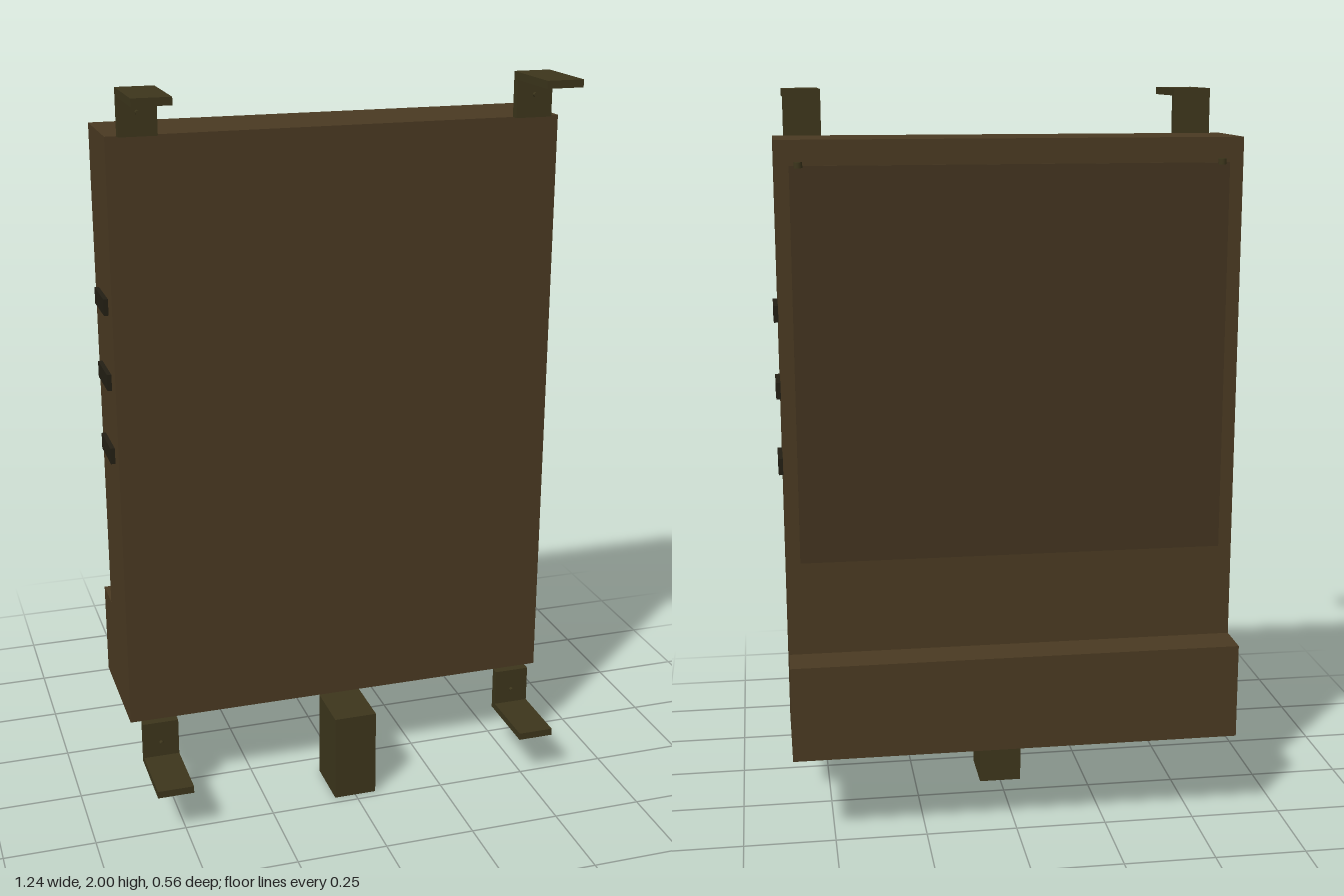
import * as THREE from 'three';

const material = (color) => new THREE.MeshStandardMaterial({ color });

export function createModel() {
  const model = new THREE.Group();
  const brown = material(0x4a3a22);
  const olive = material(0x3d361c);
  const dark = material(0x231f14);
  const panelBrown = material(0x42341f);

  // Box given by its minimum and maximum corners
  function box(name, [x0, y0, z0], [x1, y1, z1], mat, parent = model) {
    const mesh = new THREE.Mesh(new THREE.BoxGeometry(x1 - x0, y1 - y0, z1 - z0), mat);
    mesh.position.set((x0 + x1) / 2, (y0 + y1) / 2, (z0 + z1) / 2);
    mesh.name = name;
    parent.add(mesh);
    return mesh;
  }

  function cylinder(name, radius, length, position, mat, parent = model) {
    const mesh = new THREE.Mesh(new THREE.CylinderGeometry(radius, radius, length, 12), mat);
    mesh.position.set(...position);
    mesh.name = name;
    parent.add(mesh);
    return mesh;
  }

  // Main cabinet and the deeper housing at the foot of its back
  box('cabinet', [-0.61, 0.25, -0.17], [0.61, 1.88, 0.07], brown);
  box('lowerHousing', [-0.61, 0.25, -0.28], [0.61, 0.513, -0.17], brown);

  // Thin cover panel on the back
  box('backPanel', [-0.573, 0.77, -0.175], [0.573, 1.815, -0.17], panelBrown);

  // Connector block under the front edge
  box('connectorBlock', [-0.06, 0, 0.07], [0.06, 0.25, 0.225], olive);

  for (const side of [-1, 1]) {
    // Panel fastening pins
    cylinder('panelPin', 0.011, 0.015, [side * 0.55, 1.818, -0.182], olive);

    // Side vents
    for (const y of [1.023, 1.228, 1.432]) {
      const vent = box('sideVent', [-0.006, y - 0.022, -0.12], [0.006, y + 0.022, 0.015], dark);
      vent.position.x = side * 0.616;
    }

    // L-shaped mounting brackets, flanges pointing forward at top and bottom
    for (const [name, y0, y1, flangeY] of [
      ['upperBracket', 1.88, 2, 1.98],
      ['lowerBracket', 0.125, 0.25, 0.125],
    ]) {
      const bracket = new THREE.Group();
      bracket.name = name;
      bracket.position.x = side * 0.53;
      box('bracketPlate', [-0.05, y0, 0.07], [0.05, y1, 0.093], olive, bracket);
      box('bracketFlange', [-0.05, flangeY, 0.093], [0.05, flangeY + 0.02, 0.28], olive, bracket);
      const bolt = cylinder('bracketBolt', 0.006, 0.012, [0, (y0 + y1) / 2, 0.098], olive, bracket);
      bolt.rotation.x = Math.PI / 2;
      model.add(bracket);
    }
  }

  return model;
}
